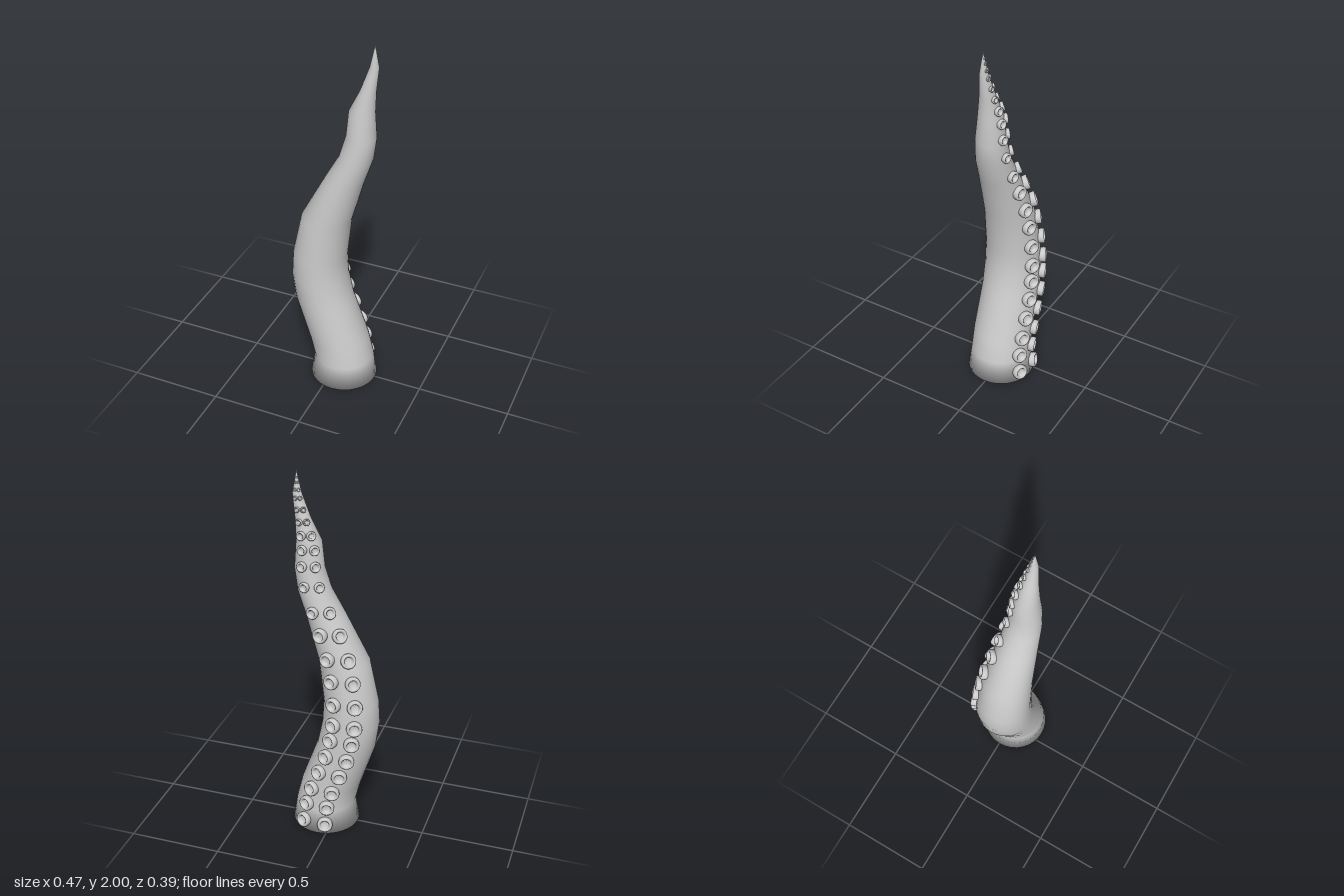
import * as THREE from 'three';

// Body rings: height, left x, right x, front z, back z
const RINGS = [
  [0, -0.13, 0.235, 0.188, -0.177],
  [0.13, -0.11, 0.215, 0.17, -0.158],
  [0.25, -0.14, 0.185, 0.169, -0.156],
  [0.5, -0.22, 0.095, 0.165, -0.15],
  [0.64, -0.238, 0.067, 0.162, -0.143],
  [0.77, -0.23, 0.06, 0.156, -0.135],
  [1.0, -0.18, 0.087, 0.142, -0.118],
  [1.25, -0.047, 0.157, 0.115, -0.09],
  [1.38, 0.025, 0.2, 0.1, -0.08],
  [1.5, 0.06, 0.215, 0.086, -0.07],
  [1.64, 0.073, 0.205, 0.069, -0.056],
  [1.75, 0.127, 0.208, 0.046, -0.037],
  [1.88, 0.174, 0.222, 0.026, -0.016],
  [2.0, 0.2, 0.2, 0.006, 0.006],
];
const SIDES = 32;

// Point on the body skin; angle 0 is +x and 90 degrees is +z
function skin(y, angle) {
  let i = 0;
  while (i < RINGS.length - 2 && RINGS[i + 1][0] < y) i++;
  const a = RINGS[i], b = RINGS[i + 1], t = (y - a[0]) / (b[0] - a[0]);
  const [, x0, x1, z1, z0] = a.map((v, k) => THREE.MathUtils.lerp(v, b[k], t));
  return new THREE.Vector3(
    (x0 + x1) / 2 + Math.cos(angle) * (x1 - x0) / 2,
    y,
    (z0 + z1) / 2 + Math.sin(angle) * (z1 - z0) / 2
  );
}

// Tapering S-curved body with a closed, softly shaded base
function bodyGeometry() {
  const pos = [], index = [];
  for (const [y] of RINGS) {
    for (let s = 0; s < SIDES; s++) pos.push(...skin(y, (s / SIDES) * Math.PI * 2).toArray());
  }
  const base = pos.length / 3;
  pos.push(0.0525, 0, 0.005);
  for (let s = 0; s < SIDES; s++) {
    const n = (s + 1) % SIDES;
    index.push(base, s, n);
    for (let r = 0; r < RINGS.length - 1; r++) {
      const a = r * SIDES + s, b = r * SIDES + n;
      index.push(a, a + SIDES, b);
      if (r < RINGS.length - 2) index.push(b, a + SIDES, b + SIDES);
    }
  }
  const g = new THREE.BufferGeometry();
  g.setAttribute('position', new THREE.Float32BufferAttribute(pos, 3));
  g.setIndex(index);
  g.computeVertexNormals();
  return g;
}

// Unit sucker: rounded cup with a sunken centre, axis along +y
function suckerGeometry() {
  const profile = [
    [0.85, -0.6], [0.97, -0.1], [1, 0.25], [0.95, 0.45], [0.82, 0.55],
    [0.68, 0.52], [0.58, 0.4], [0.52, 0.15], [0.4, 0.05], [0, 0.02],
  ].map(([x, y]) => new THREE.Vector2(x, y));
  return new THREE.LatheGeometry(profile, 20);
}

// Sucker height on the body and radius
const SUCKERS = [
  [0.06, 0.042], [0.165, 0.042], [0.265, 0.042], [0.375, 0.042], [0.48, 0.042], [0.585, 0.042],
  [0.68, 0.042], [0.8, 0.041], [0.93, 0.04], [1.05, 0.04], [1.175, 0.039], [1.29, 0.032],
  [1.42, 0.027], [1.525, 0.027], [1.61, 0.026], [1.68, 0.024], [1.745, 0.018], [1.805, 0.015],
  [1.86, 0.012], [1.9, 0.009], [1.935, 0.007], [1.96, 0.005],
];

export function createModel() {
  const group = new THREE.Group();
  group.name = 'tentacle';
  const material = new THREE.MeshStandardMaterial({ color: 0xcccccc, side: THREE.DoubleSide });

  const body = new THREE.Mesh(bodyGeometry(), material);
  body.name = 'body';
  group.add(body);

  // Two rows of suckers along the back, turning slightly as they climb
  const geometry = suckerGeometry();
  const up = new THREE.Vector3(0, 1, 0);
  const rows = [['leftSuckerRow', 295, 281], ['rightSuckerRow', 255, 231]];
  for (const [name, low, high] of rows) {
    const row = new THREE.Group();
    row.name = name;
    for (const [y, radius] of SUCKERS) {
      const t = Math.min(y / 1.2, 1);
      const angle = THREE.MathUtils.degToRad(THREE.MathUtils.lerp(low, high, t * t));
      const p = skin(y, angle);
      const along = skin(y + 0.03, angle).sub(skin(y - 0.03, angle));
      const around = skin(y, angle + 0.02).sub(skin(y, angle - 0.02));
      const normal = along.cross(around).normalize();
      const sucker = new THREE.Mesh(geometry, material);
      sucker.name = 'sucker';
      sucker.quaternion.setFromUnitVectors(up, normal);
      sucker.position.copy(p).addScaledVector(normal, radius * 0.12);
      sucker.scale.setScalar(radius);
      row.add(sucker);
    }
    group.add(row);
  }
  return group;
}
